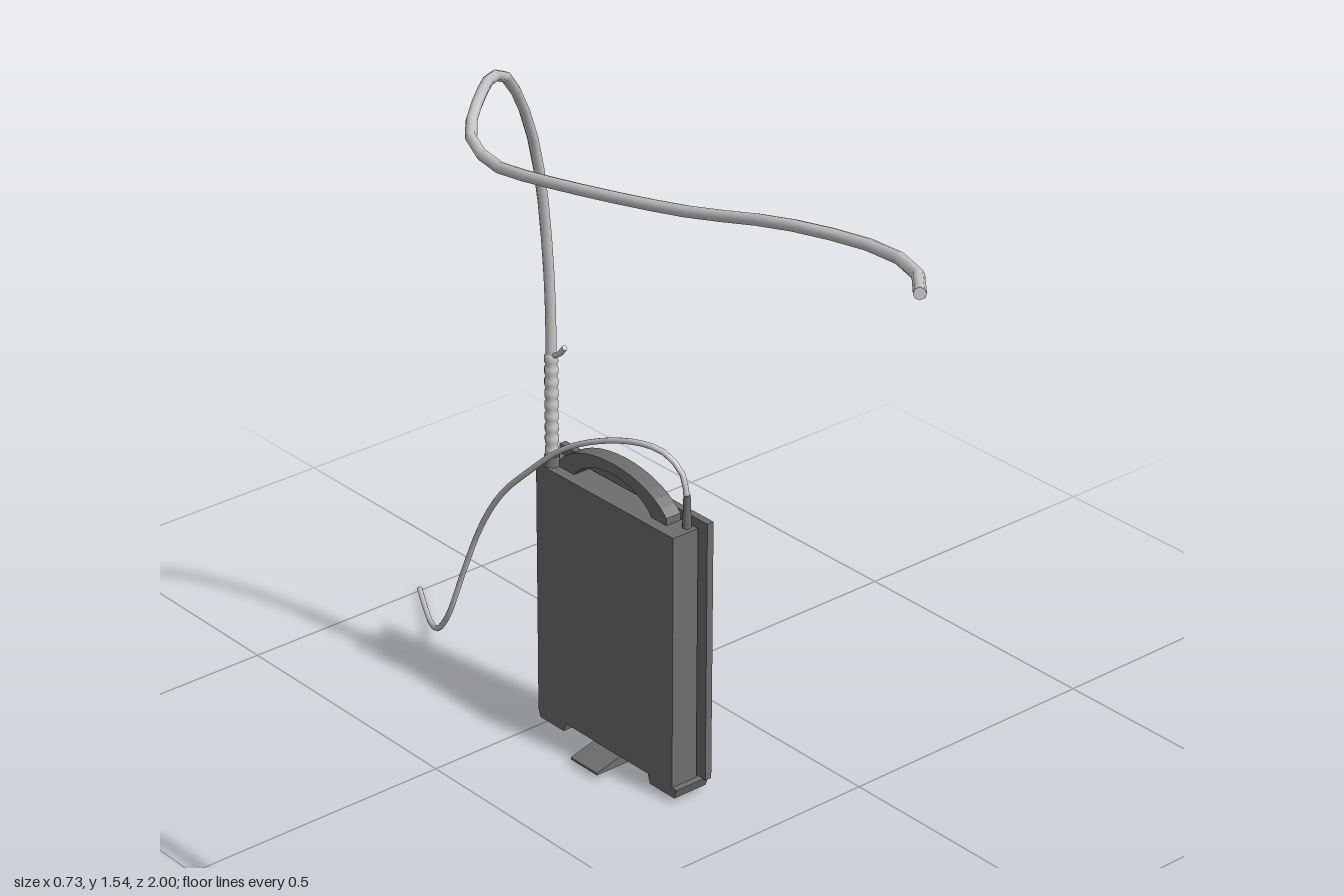
import * as THREE from 'three';

const caseMat = new THREE.MeshStandardMaterial({ color: 0x6e6e6e });
const tubeMat = new THREE.MeshStandardMaterial({ color: 0xcccccc, side: THREE.DoubleSide });

export function createModel() {
  const root = new THREE.Group();

  function add(name, geometry, x = 0, y = 0, z = 0, material = caseMat) {
    const mesh = new THREE.Mesh(geometry, material);
    mesh.name = name;
    mesh.position.set(x, y, z);
    root.add(mesh);
    return mesh;
  }

  // Box given by its limits on each axis
  function box(name, [x0, x1], [y0, y1], [z0, z1]) {
    add(name, new THREE.BoxGeometry(x1 - x0, y1 - y0, z1 - z0),
      (x0 + x1) / 2, (y0 + y1) / 2, (z0 + z1) / 2);
  }

  // Tube through points, closed by a small disc at each end
  function cable(name, points, radius, segments, sides) {
    const path = new THREE.CatmullRomCurve3(points.map(p => new THREE.Vector3(...p)), false, 'centripetal');
    add(name, new THREE.TubeGeometry(path, segments, radius, sides), 0, 0, 0, tubeMat);
    for (const t of [0, 1]) {
      const p = path.getPointAt(t);
      const cap = add(name + 'End', new THREE.CircleGeometry(radius, sides), p.x, p.y, p.z, tubeMat);
      cap.lookAt(p.clone().add(path.getTangentAt(t)));
    }
  }

  // Flat case: body, recessed seam and slightly larger side panel
  box('caseBody', [0.232, 0.285], [0.027, 0.495], [-0.512, -0.165]);
  box('caseSeam', [0.285, 0.291], [0.035, 0.488], [-0.505, -0.172]);
  box('sidePanel', [0.29, 0.303], [0.027, 0.508], [-0.521, -0.148]);

  // Feet: trapezoid section in z and y, extruded along x
  function foot(name, zMid) {
    const s = new THREE.Shape([[-0.031, 0.01], [0.031, 0.01], [0.037, 0.028], [-0.037, 0.028]]
      .map(p => new THREE.Vector2(...p)));
    const g = new THREE.ExtrudeGeometry(s, { depth: 0.069, bevelEnabled: false });
    g.rotateY(Math.PI / 2);
    add(name, g, 0.232, 0, zMid);
  }
  foot('frontFoot', -0.19);
  foot('rearFoot', -0.476);

  // Stabiliser foot: thin wide plate that slopes down on both sides
  const plate = new THREE.Shape([[0.182, 0.01], [0.333, 0.01], [0.333, 0.014], [0.303, 0.027],
    [0.232, 0.027], [0.182, 0.014]].map(p => new THREE.Vector2(...p)));
  add('stabiliserFoot', new THREE.ExtrudeGeometry(plate, { depth: 0.068, bevelEnabled: false }), 0, 0, -0.366);

  // Arched carrying handle, section in z and y
  const arch = new THREE.Shape();
  arch.moveTo(-0.135, 0.49);
  arch.lineTo(-0.135, 0.508);
  arch.bezierCurveTo(-0.08, 0.57, 0.08, 0.57, 0.135, 0.508);
  arch.lineTo(0.135, 0.49);
  arch.lineTo(0.102, 0.49);
  arch.bezierCurveTo(0.06, 0.55, -0.06, 0.55, -0.102, 0.49);
  const handle = new THREE.ExtrudeGeometry(arch, { depth: 0.03, bevelEnabled: false, curveSegments: 14 });
  handle.rotateY(Math.PI / 2);
  add('handle', handle, 0.252, 0, -0.34);

  // Hose rising from the rear and sweeping forward
  cable('hose', [
    [0.248, 0.49, -0.49], [0.248, 0.70, -0.49], [0.243, 0.82, -0.486], [0.215, 1.01, -0.47],
    [0.178, 1.12, -0.447], [0.13, 1.205, -0.417], [0.06, 1.28, -0.367], [-0.01, 1.315, -0.312],
    [-0.10, 1.341, -0.225], [-0.195, 1.351, -0.13], [-0.24, 1.355, -0.07], [-0.28, 1.364, 0.03],
    [-0.298, 1.387, 0.145], [-0.292, 1.442, 0.45], [-0.283, 1.493, 0.665], [-0.281, 1.519, 0.85],
    [-0.315, 1.53, 0.945], [-0.362, 1.537, 0.998],
  ], 0.009, 34, 8);

  // Ribbed strain relief around the hose foot
  const ribs = [new THREE.Vector2(0.007, 0)];
  for (let i = 0; i < 10; i++) {
    const y = i * 0.021;
    ribs.push(new THREE.Vector2(0.012, y + 0.003), new THREE.Vector2(0.012, y + 0.013),
      new THREE.Vector2(0.009, y + 0.017));
  }
  add('ribbedSleeve', new THREE.LatheGeometry(ribs, 10), 0.248, 0.493, -0.49, tubeMat);
  add('hoseSocket', new THREE.CylinderGeometry(0.013, 0.015, 0.02, 12), 0.248, 0.503, -0.49);

  // Small trigger above the sleeve
  cable('trigger', [[0.248, 0.695, -0.488], [0.248, 0.705, -0.47], [0.248, 0.722, -0.455]], 0.005, 6, 6);

  // Power cord looping over the top and trailing to the floor behind
  add('cordPlug', new THREE.CylinderGeometry(0.006, 0.008, 0.06, 10), 0.274, 0.523, -0.18);
  cable('powerCord', [
    [0.274, 0.54, -0.18], [0.274, 0.585, -0.19], [0.265, 0.614, -0.22], [0.256, 0.62, -0.255],
    [0.245, 0.603, -0.33], [0.23, 0.555, -0.43], [0.22, 0.473, -0.525], [0.226, 0.40, -0.60],
    [0.24, 0.30, -0.675], [0.239, 0.20, -0.72], [0.236, 0.10, -0.76], [0.251, 0.045, -0.81],
    [0.285, 0.018, -0.875], [0.32, 0.009, -0.935], [0.357, 0.006, -0.998],
  ], 0.005, 50, 8);

  return root;
}
